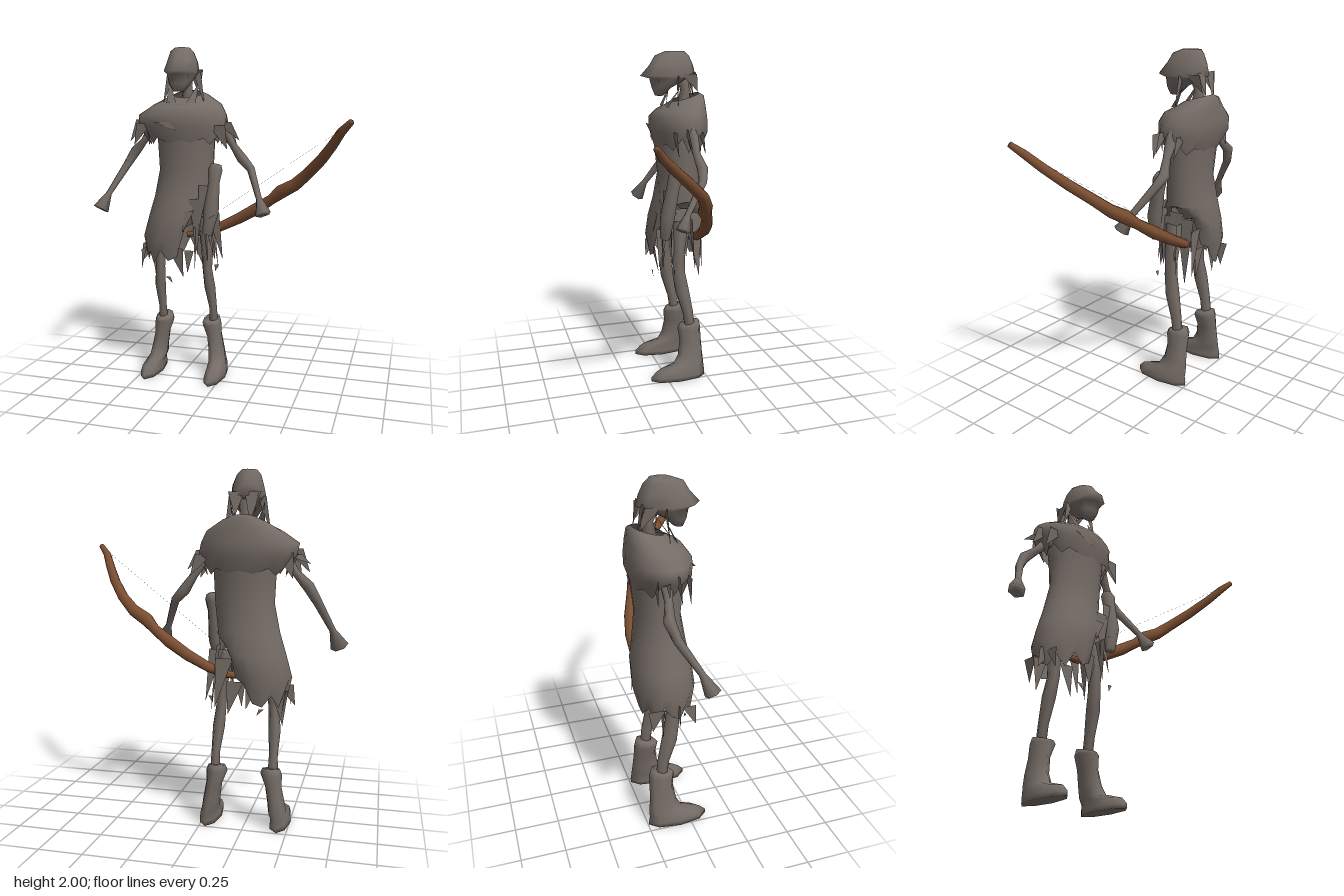
import * as THREE from 'three';

const cloth = new THREE.MeshStandardMaterial({ color: 0x746b65, side: THREE.DoubleSide });
cloth.name = 'grey cloth';
const wood = new THREE.MeshStandardMaterial({ color: 0x7b4e31 });
wood.name = 'bow wood';

const V = (x, y, z) => new THREE.Vector3(x, y, z);

// Skin a list of equal-sized sections, optionally closing both ends
function skin(sections, capped = true) {
  const n = sections[0].length, pos = [], idx = [];
  sections.forEach(s => s.forEach(p => pos.push(p.x, p.y, p.z)));
  for (let i = 0; i < sections.length - 1; i++) {
    for (let j = 0; j < n; j++) {
      const k = (j + 1) % n, a = i * n + j, d = i * n + k;
      idx.push(a, d, d + n, a, d + n, a + n);
    }
  }
  if (capped) {
    [0, sections.length - 1].forEach((s, end) => {
      const c = pos.length / 3, mid = V(0, 0, 0);
      sections[s].forEach(p => mid.addScaledVector(p, 1 / n));
      pos.push(mid.x, mid.y, mid.z);
      for (let j = 0; j < n; j++) {
        const a = s * n + j, b = s * n + (j + 1) % n;
        if (end) idx.push(c, a, b); else idx.push(c, b, a);
      }
    });
  }
  const g = new THREE.BufferGeometry();
  g.setAttribute('position', new THREE.Float32BufferAttribute(pos, 3));
  g.setIndex(idx);
  g.computeVertexNormals();
  return g;
}

// Level rings, top to bottom: [y, centre x, centre z, radius x, radius z, drop at the front]
function rings(list, n, capped, edit) {
  return skin(list.map(([y, cx, cz, rx, rz, tilt = 0], i) =>
    Array.from({ length: n }, (_, j) => {
      const a = j / n * Math.PI * 2, c = Math.cos(a), s = Math.sin(a);
      const p = V(cx + rx * c, y - tilt * s, cz + rz * s);
      if (edit) edit(p, i, j, c);
      return p;
    })), capped);
}

// Sections square to a path: [x, y, z, radius across, radius deep]
function limb(path, n = 6) {
  const pts = path.map(p => V(p[0], p[1], p[2]));
  return skin(pts.map((p, i) => {
    const t = pts[Math.min(i + 1, pts.length - 1)].clone().sub(pts[Math.max(i - 1, 0)]).normalize();
    const u = V(0, 0, 1).cross(t).normalize(), w = t.clone().cross(u);
    const [, , , ru, rw = ru] = path[i];
    return Array.from({ length: n }, (_, j) => {
      const a = j / n * Math.PI * 2;
      return p.clone().addScaledVector(u, ru * Math.cos(a)).addScaledVector(w, rw * Math.sin(a));
    });
  }));
}

// Flat torn strips, each from a top edge to a point: [x, y, z, half width, tip x, tip y, tip z]
function strips(list, alongZ = 0) {
  const pos = [];
  list.forEach(([x, y, z, w, tx, ty, tz]) => {
    const ex = w * (1 - alongZ), ez = w * alongZ;
    pos.push(x - ex, y, z - ez, tx, ty, tz, x + ex, y, z + ez);
  });
  const g = new THREE.BufferGeometry();
  g.setAttribute('position', new THREE.Float32BufferAttribute(pos, 3));
  g.computeVertexNormals();
  return g;
}

export function createModel() {
  const model = new THREE.Group();
  const add = (name, geometry, material = cloth) => {
    const m = new THREE.Mesh(geometry, material);
    m.name = name;
    model.add(m);
  };

  // Hooded head with a jutting brow and narrow jaw
  add('hood', rings([
    [2.0, -0.25, -0.11, 0.045, 0.06],
    [1.975, -0.245, -0.09, 0.068, 0.105],
    [1.92, -0.24, -0.085, 0.088, 0.135],
    [1.86, -0.24, -0.065, 0.098, 0.17],
    [1.845, -0.24, -0.07, 0.09, 0.12],
    [1.79, -0.24, -0.025, 0.068, 0.06],
    [1.745, -0.24, -0.01, 0.035, 0.025],
  ], 8, true));
  add('neck', limb([[-0.24, 1.88, -0.14, 0.04], [-0.24, 1.78, -0.17, 0.028], [-0.24, 1.66, -0.16, 0.045]]));
  add('hoodTatters', strips([
    [-0.29, 1.88, -0.21, 0.045, -0.28, 1.72, -0.24], [-0.2, 1.88, -0.21, 0.045, -0.2, 1.75, -0.24],
    [-0.32, 1.86, -0.1, 0.025, -0.37, 1.67, -0.09], [-0.16, 1.86, -0.1, 0.025, -0.11, 1.67, -0.09],
    [-0.3, 1.68, -0.04, 0.03, -0.34, 1.83, -0.12], [-0.18, 1.68, -0.04, 0.03, -0.15, 1.8, -0.12],
  ]));
  add('hoodSideTatters', strips([
    [-0.32, 1.87, -0.17, 0.05, -0.3, 1.75, -0.23], [-0.16, 1.87, -0.17, 0.05, -0.18, 1.77, -0.23],
    [-0.31, 1.85, -0.02, 0.03, -0.27, 1.76, 0.0], [-0.17, 1.85, -0.02, 0.03, -0.2, 1.76, 0.0],
  ], 1));

  // Shoulder cape, torn over the arms
  add('shoulderCape', rings([
    [1.735, -0.235, -0.17, 0.085, 0.085, 0.025],
    [1.715, -0.235, -0.165, 0.13, 0.115, 0.03],
    [1.67, -0.235, -0.14, 0.215, 0.145, 0.015],
    [1.61, -0.26, -0.13, 0.275, 0.167],
    [1.54, -0.255, -0.13, 0.26, 0.166],
    [1.45, -0.24, -0.125, 0.22, 0.138],
  ], 20, false, (p, i, j, c) => {
    if (i === 5) p.y += c * c * (j % 2 ? 0.07 : -0.02);
    if (i > 3) p.x += 0.025 * c * (j % 2);
  }));
  add('sleeveTatters', strips([
    [-0.5, 1.58, -0.1, 0.05, -0.59, 1.45, -0.1], [-0.47, 1.56, -0.03, 0.05, -0.54, 1.43, -0.04],
    [-0.46, 1.56, -0.2, 0.05, -0.51, 1.42, -0.2], [-0.5, 1.55, -0.15, 0.05, -0.6, 1.5, -0.17],
    [0, 1.57, -0.1, 0.05, 0.1, 1.46, -0.11], [-0.02, 1.55, -0.04, 0.05, 0.04, 1.41, -0.05],
    [-0.02, 1.55, -0.2, 0.05, 0.06, 1.43, -0.2], [-0.34, 1.57, 0.035, 0.05, -0.24, 1.52, 0.04],
  ]));

  // Long tunic, torn away on its left side
  add('tunic', rings([
    [1.67, -0.235, -0.14, 0.15, 0.12],
    [1.57, -0.235, -0.13, 0.19, 0.15],
    [1.44, -0.235, -0.125, 0.175, 0.14],
    [1.28, -0.235, -0.125, 0.168, 0.122],
    [1.12, -0.26, -0.125, 0.175, 0.145],
    [1.0, -0.275, -0.12, 0.195, 0.168],
    [0.87, -0.305, -0.115, 0.2, 0.173],
    [0.74, -0.305, -0.11, 0.17, 0.145],
  ], 20, false, (p, i, j, c) => {
    const torn = Math.max(0, c - 0.2);
    if (i === 7) p.y += [0, 0.06, -0.03, 0.04, -0.02][j % 5] + torn * 0.42;
    if (i === 6) p.y += torn * 0.3;
    if (i === 5) p.y += torn * 0.15;
  }));
  add('skirtTatters', strips([
    [-0.46, 0.82, -0.08, 0.05, -0.52, 0.7, -0.08], [-0.44, 0.8, -0.16, 0.05, -0.46, 0.6, -0.16],
    [-0.26, 0.82, 0.03, 0.05, -0.22, 0.64, 0.0], [-0.2, 0.85, -0.22, 0.05, -0.16, 0.66, -0.22],
    [-0.14, 1.12, 0.01, 0.04, -0.13, 0.78, 0.0], [-0.1, 1.1, -0.04, 0.035, -0.04, 0.78, -0.03],
    [-0.17, 1.05, 0.03, 0.03, -0.21, 0.92, 0.04], [-0.08, 1.02, -0.16, 0.04, -0.02, 0.72, -0.17],
    [-0.14, 0.98, -0.23, 0.05, -0.09, 0.7, -0.24], [-0.31, 0.64, 0.02, 0.015, -0.28, 0.6, 0.02],
    [-0.02, 0.72, -0.04, 0.015, -0.03, 0.68, -0.04], [-0.19, 0.8, -0.02, 0.03, -0.2, 0.66, -0.02],
    [-0.09, 1.2, 0.0, 0.03, -0.12, 0.92, 0.01],
  ]));
  add('sideTatters', strips([
    [-0.1, 1.05, -0.06, 0.05, -0.08, 0.74, -0.04], [-0.1, 1.05, -0.18, 0.06, -0.06, 0.66, -0.21],
    [-0.14, 0.95, 0, 0.04, -0.14, 0.7, 0.02], [-0.1, 1.08, -0.12, 0.05, -0.07, 0.78, -0.13],
    [-0.48, 0.8, -0.02, 0.04, -0.48, 0.68, 0.02], [-0.48, 0.8, -0.2, 0.05, -0.46, 0.66, -0.22],
  ], 1));

  // Quiver on the left hip
  add('quiver', limb([
    [-0.03, 1.32, -0.06, 0.032, 0.03], [-0.032, 1.29, -0.05, 0.044, 0.042],
    [-0.035, 1.22, -0.035, 0.034, 0.04], [-0.045, 1.05, -0.005, 0.047, 0.045], [-0.065, 0.91, 0.005, 0.03, 0.03],
  ], 7));

  // Thin arms ending in flared, flat-cut hands
  add('rightArm', limb([
    [-0.42, 1.57, -0.14, 0.04], [-0.52, 1.45, -0.15, 0.022], [-0.59, 1.38, -0.17, 0.032],
    [-0.64, 1.29, -0.14, 0.025], [-0.715, 1.13, -0.04, 0.018], [-0.752, 1.035, 0.005, 0.052, 0.045],
  ]));
  add('leftArm', limb([
    [-0.03, 1.57, -0.14, 0.04], [0.05, 1.43, -0.15, 0.022], [0.1, 1.35, -0.17, 0.032],
    [0.16, 1.29, -0.15, 0.025], [0.235, 1.13, -0.04, 0.018], [0.27, 1.045, 0.0, 0.048, 0.045],
  ]));

  // Legs and boots
  [['right', -0.38, -0.4, -0.41, -0.445, -1], ['left', -0.11, -0.095, -0.075, -0.035, 1]].forEach(
    ([side, hip, knee, shin, foot, out]) => {
      add(side + 'Leg', limb([
        [hip, 1.0, -0.1, 0.05], [knee, 0.8, -0.09, 0.038], [knee, 0.68, -0.09, 0.03, 0.042],
        [knee + 0.01 * out, 0.56, -0.11, 0.035, 0.045], [shin, 0.42, -0.145, 0.025, 0.035],
        [shin, 0.3, -0.16, 0.03],
      ]));
      add(side + 'Boot', rings([
        [0.345, shin - 0.01 * out, -0.155, 0.05, 0.065, 0.015],
        [0.315, shin - 0.01 * out, -0.155, 0.062, 0.075],
        [0.24, shin + 0.005 * out, -0.16, 0.047, 0.07],
        [0.15, shin + 0.02 * out, -0.155, 0.05, 0.08],
        [0.09, foot - 0.01 * out, -0.14, 0.052, 0.1],
        [0.06, foot, -0.085, 0.056, 0.155],
        [0.025, foot, -0.07, 0.06, 0.175],
        [0.0, foot, -0.07, 0.06, 0.175],
      ], 8, true));
    });

  // Curved bow and its fine string
  add('bow', limb([
    [0.785, 1.585, 0.295, 0.016], [0.73, 1.53, 0.25, 0.024], [0.68, 1.46, 0.175, 0.027],
    [0.61, 1.375, 0.075, 0.03], [0.52, 1.285, -0.025, 0.032], [0.44, 1.215, -0.07, 0.036],
    [0.35, 1.165, -0.095, 0.04], [0.29, 1.115, -0.13, 0.03], [0.2, 1.055, -0.16, 0.036],
    [0.08, 0.985, -0.19, 0.033], [-0.05, 0.92, -0.2, 0.028], [-0.15, 0.885, -0.19, 0.022],
    [-0.25, 0.87, -0.165, 0.016],
  ], 8), wood);
  add('bowString', limb([[0.77, 1.57, 0.29, 0.0004], [-0.24, 0.88, -0.025, 0.0004]], 3));

  return model;
}
